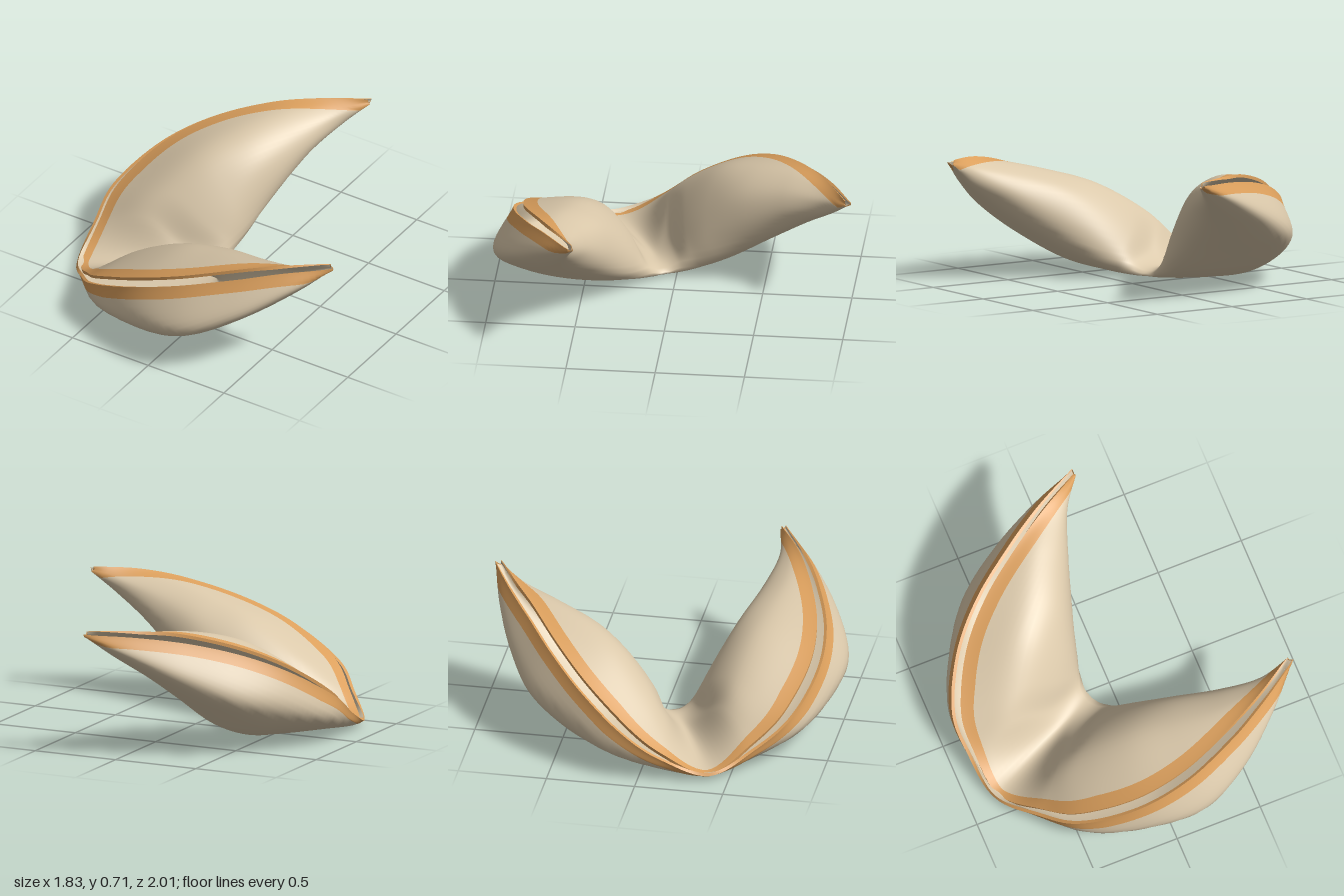
import * as THREE from 'three';

// Control points [x, z, y] of one lobe, from the middle fold (first) to the tip (last).
const LOBE = {
  rim: [[-.842, .395, .03], [-.67, .61, .135], [-.5, .77, .26], [-.2, .865, .41],
    [.1, .855, .525], [.4, .76, .62], [.65, .64, .68], [.89, .49, .705]],
  innerSheet: [[-.452, .212, .055], [-.45, .4, .24], [-.3, .44, .37], [-.08, .49, .495],
    [.15, .54, .57], [.42, .59, .635], [.67, .55, .665], [.87, .48, .695]],
  innerWall: [[-.3, .14, .06], [-.28, .24, .13], [-.17, .26, .25], [0, .31, .37],
    [.2, .38, .48], [.46, .47, .57], [.7, .505, .63], [.88, .475, .69]],
  innerFold: [[-.18, .085, .055], [-.1, .135, .07], [-.03, .185, .13], [.07, .24, .21],
    [.27, .34, .33], [.5, .44, .48], [.72, .5, .59], [.885, .47, .685]],
  fold: [[-.118, .055, .03], [-.085, .115, .035], [0, .2, .065], [.12, .28, .13],
    [.33, .42, .26], [.56, .52, .42], [.75, .53, .56], [.88, .48, .675]],
  bottom: [[-.407, .19, .003], [-.35, .35, .007], [-.2, .54, .025], [0, .73, .075],
    [.26, .8, .22], [.52, .73, .385], [.73, .62, .545], [.89, .49, .68]],
  belly: [[-.815, .383, .012], [-.64, .635, .07], [-.42, .845, .14], [-.1, .965, .22],
    [.19, .99, .29], [.46, .88, .42], [.7, .7, .57], [.9, .5, .685]],
};
const ROWS = 120, BAND = 6, BODY = 44, COLS = BODY + 2 * BAND;

// Mirror a point in the upright plane through the middle fold; the second lobe is slimmer and taller.
function mirror([x, z, y], i) {
  const swell = Math.sin(Math.PI * i / 7);
  const u = .905 * x - .425 * z;
  const v = -(.425 * x + .905 * z) * (1 - .12 * swell);
  return [.905 * u + .425 * v, -.425 * u + .905 * v, y * (1 + .11 * swell * swell)];
}

// Lengthwise curve from one tip, through the middle fold, to the other tip.
function railCurve(points) {
  const other = points.map(mirror).slice(1).reverse();
  const all = [...other, ...points].map(([x, z, y]) => new THREE.Vector3(x, y, z));
  return new THREE.CatmullRomCurve3(all, false, 'catmullrom', .5);
}

// Surface through rows of points; toasted(j) picks the second material for a column.
function gridGeometry(rows, flip = false, toasted = null) {
  const n = rows[0].length, index = [[], []];
  for (let i = 0; i < rows.length - 1; i++) {
    for (let j = 0; j < n - 1; j++) {
      const a = i * n + j, b = a + n, c = a + 1, d = b + 1;
      index[toasted && toasted(j) ? 1 : 0].push(...(flip ? [a, c, b, b, c, d] : [a, b, c, b, d, c]));
    }
  }
  const g = new THREE.BufferGeometry().setFromPoints(rows.flat());
  g.setIndex([...index[0], ...index[1]]);
  if (toasted) {
    g.addGroup(0, index[0].length, 0);
    g.addGroup(index[0].length, index[1].length, 1);
  }
  g.computeVertexNormals();
  return g;
}

// Cross-sections: from the inner lip, round the fold and belly, to the outer lip.
function shellRows() {
  const rails = Object.fromEntries(Object.entries(LOBE).map(([k, p]) => [k, railCurve(p)]));
  const rows = [];
  for (let i = 0; i <= ROWS; i++) {
    const t = i / ROWS, s = Math.abs(2 * t - 1), open = Math.min(1, s * 3);
    const p = Object.fromEntries(Object.entries(rails).map(([k, c]) => [k, c.getPoint(t)]));
    const across = p.belly.clone().sub(p.innerSheet).normalize();
    const gap = .012 + .02 * open - .013 * Math.max(0, s * 4 - 3);
    const lip = side => p.rim.clone().addScaledVector(across, side * gap);
    const section = new THREE.CatmullRomCurve3([lip(-1), p.innerSheet, p.innerWall,
      p.innerFold, p.fold, p.bottom, p.belly, lip(1)], false, 'centripetal');
    const length = section.getLength();
    const inner = Math.min(.4, (.04 + .045 * open) / length);
    const outer = Math.min(.4, (.025 + .045 * open) / length);
    const row = [];
    for (let j = 0; j <= COLS; j++) {
      let f;
      if (j <= BAND) f = inner * j / BAND;
      else if (j >= COLS - BAND) f = 1 - outer * (COLS - j) / BAND;
      else f = inner + (1 - inner - outer) * (j - BAND) / BODY;
      row.push(section.getPointAt(f));
    }
    rows.push(row);
  }
  return rows;
}

export function createModel() {
  const model = new THREE.Group();
  model.name = 'foldedCookie';
  const dough = new THREE.MeshStandardMaterial({ color: 0xdac8aa, side: THREE.DoubleSide });
  dough.name = 'paleDough';
  const toast = new THREE.MeshStandardMaterial({ color: 0xdb9f5c, side: THREE.DoubleSide });
  toast.name = 'toastedEdge';
  const add = (name, geometry, material) => {
    const mesh = new THREE.Mesh(geometry, material);
    mesh.name = name;
    model.add(mesh);
  };

  // Outer skin with a toasted band along both lips
  const rows = shellRows();
  const skin = gridGeometry(rows, false, j => j < BAND || j >= COLS - BAND);
  add('outerSkin', skin, [dough, toast]);

  // Hollow inside, offset from the skin and thinning towards the tips
  const normal = new THREE.Vector3(), normals = skin.attributes.normal;
  const inside = rows.map((row, i) => {
    const s = Math.abs(2 * i / ROWS - 1);
    const thick = .004 + .014 * Math.min(1, (1 - s) * 6);
    return row.map((p, j) => {
      normal.fromBufferAttribute(normals, i * (COLS + 1) + j);
      return p.clone().addScaledVector(normal, -thick);
    });
  });
  add('innerLining', gridGeometry(inside, true), dough);

  // Lips closing the thickness along the open seam
  for (const [name, j, flip] of [['innerLip', 0, true], ['outerLip', COLS, false]]) {
    add(name, gridGeometry(rows.map((row, i) => [row[j], inside[i][j]]), flip), toast);
  }

  // Closed ends of the two tips
  for (const [name, i, flip] of [['rightTip', 0, true], ['leftTip', ROWS, false]]) {
    const row = rows[i];
    const mid = row.reduce((sum, p) => sum.add(p), new THREE.Vector3()).divideScalar(row.length);
    add(name, gridGeometry([row, row.map(() => mid)], flip), toast);
  }
  return model;
}
